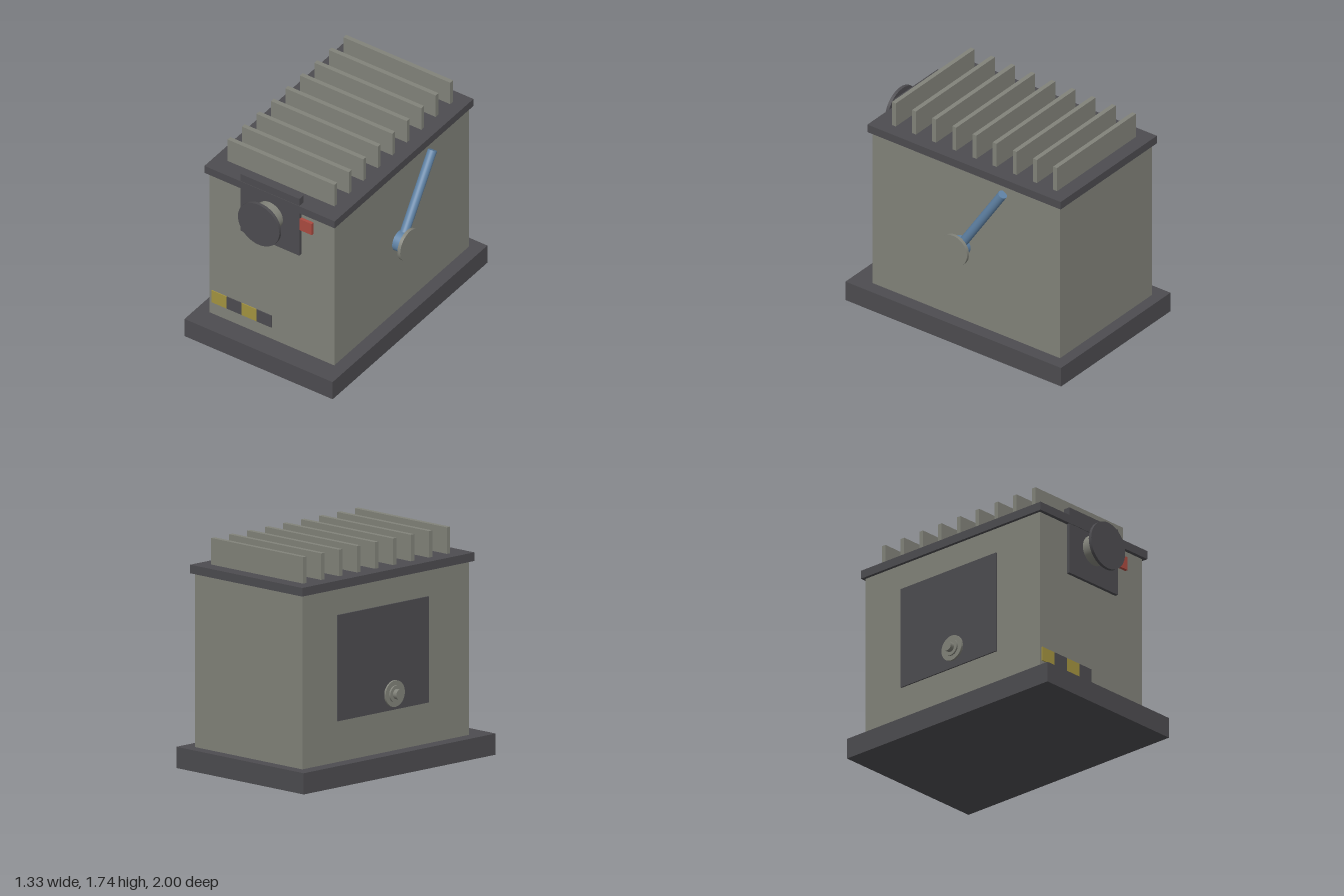
import * as THREE from 'three';

const mat = (name, color) => Object.assign(new THREE.MeshStandardMaterial({ color }), { name });

export function createModel() {
  const group = new THREE.Group();
  group.name = 'machine';

  const olive = mat('olive grey', 0x82837a);
  const dark = mat('dark grey', 0x4d4c50);
  const blue = mat('steel blue', 0x6083a6);
  const red = mat('red', 0xaa4a40);
  const yellow = mat('yellow', 0xa39340);

  const add = (name, geometry, material) => {
    const mesh = new THREE.Mesh(geometry, material);
    mesh.name = name;
    group.add(mesh);
    return mesh;
  };
  // Box given by its minimum and maximum corners
  const box = (name, material, [x0, y0, z0], [x1, y1, z1]) =>
    add(name, new THREE.BoxGeometry(x1 - x0, y1 - y0, z1 - z0), material)
      .position.set((x0 + x1) / 2, (y0 + y1) / 2, (z0 + z1) / 2);
  // Cylinder between two points
  const rod = (name, material, r, a, b, sides = 40) => {
    const from = new THREE.Vector3(...a), to = new THREE.Vector3(...b);
    const dir = to.clone().sub(from);
    const mesh = add(name, new THREE.CylinderGeometry(r, r, dir.length(), sides), material);
    mesh.position.copy(from).add(to).multiplyScalar(0.5);
    mesh.quaternion.setFromUnitVectors(new THREE.Vector3(0, 1, 0), dir.normalize());
  };

  // Housing
  box('base', dark, [-0.665, 0, -1], [0.665, 0.16, 1]);
  box('body', olive, [-0.56, 0.16, -0.91], [0.56, 1.47, 0.828]);
  box('lid', dark, [-0.585, 1.47, -0.935], [0.585, 1.535, 0.858]);

  // Cooling fins
  for (let i = 0; i < 9; i++) {
    const z = 0.693 - i * 0.187;
    box('coolingFin', olive, [-0.48, 1.535, z - 0.018], [0.48, 1.735, z + 0.018]);
  }

  // Front port with flange, and red indicator
  box('portPlate', dark, [-0.265, 1.07, 0.802], [0.265, 1.6, 0.854]);
  rod('portTube', olive, 0.117, [0, 1.335, 0.85], [0, 1.335, 0.98]);
  rod('portFlange', dark, 0.186, [0, 1.335, 0.975], [0, 1.335, 1]);
  box('indicator', red, [0.265, 1.31, 0.82], [0.375, 1.413, 0.853]);

  // Warning stripes
  for (let i = 0; i < 4; i++) {
    const x = -0.54 + i * 0.135;
    box('warningStripe', i % 2 ? dark : yellow, [x, 0.268, 0.827], [x + 0.135, 0.378, 0.835]);
  }

  // Lever on the left side
  rod('leverHub', blue, 0.08, [0.555, 0.803, 0], [0.642, 0.803, 0]);
  rod('leverCap', olive, 0.127, [0.639, 0.803, 0], [0.665, 0.803, 0]);
  rod('leverHandle', blue, 0.036, [0.588, 0.803, 0], [0.588, 1.402, -0.4], 24);

  // Access panel on the right side, with a stepped knob
  box('accessPanel', dark, [-0.571, 0.47, -0.55], [-0.555, 1.27, 0.4]);
  rod('knobBase', olive, 0.067, [-0.57, 0.603, 0], [-0.608, 0.603, 0]);
  rod('knobDisc', olive, 0.1, [-0.604, 0.603, 0], [-0.619, 0.603, 0]);
  rod('knobCollar', olive, 0.064, [-0.615, 0.603, 0], [-0.632, 0.603, 0]);
  rod('knobTip', olive, 0.038, [-0.625, 0.603, 0], [-0.668, 0.603, 0], 24);

  return group;
}
